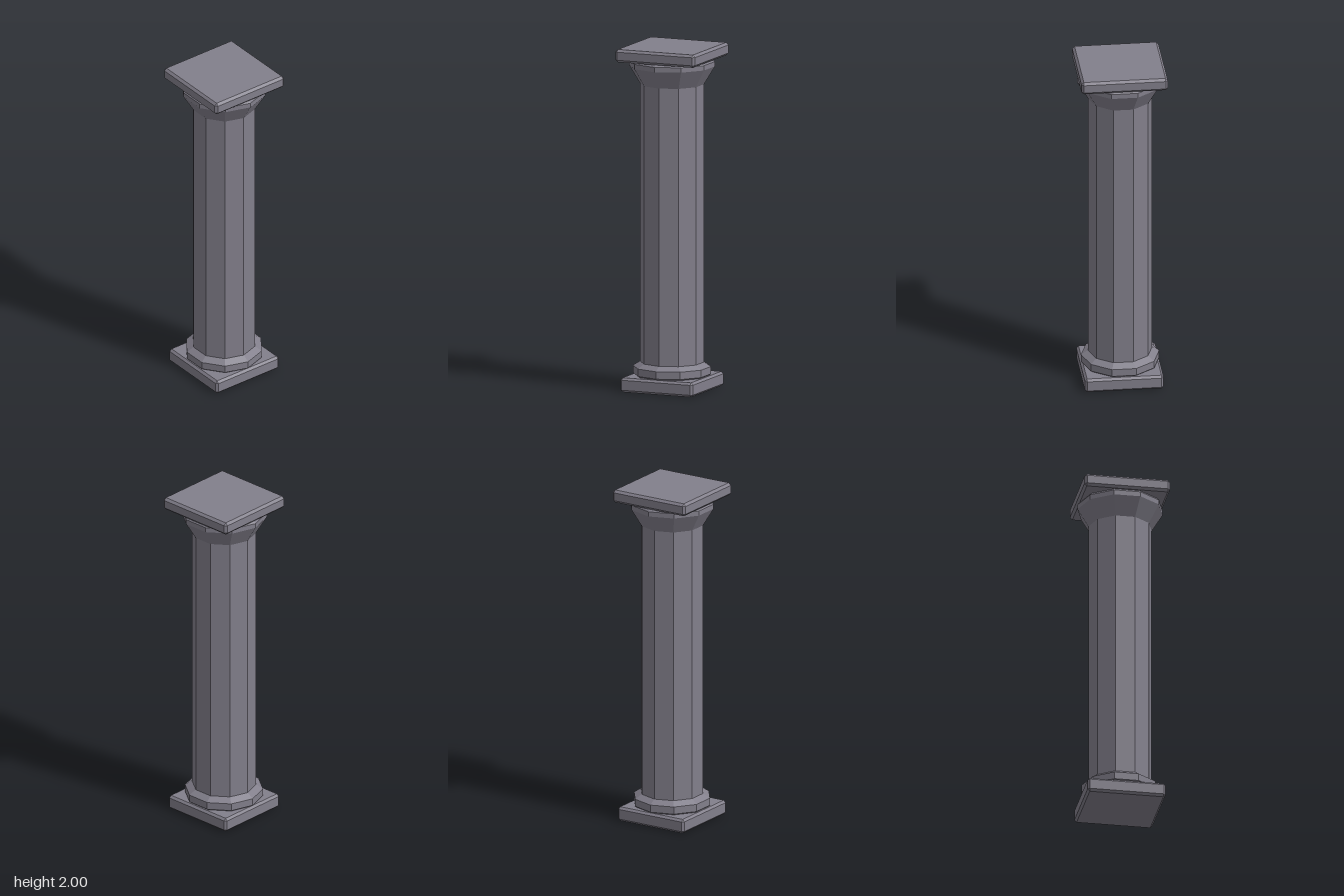
import * as THREE from 'three';
import { ConvexGeometry } from 'three/addons/geometries/ConvexGeometry.js';

const SIDES = 10;

// Box with all edges chamfered by b, spanning y0..y1
function chamferedSlab(half, y0, y1, b) {
  const hy = (y1 - y0) / 2;
  const points = [];
  for (const x of [-1, 1]) for (const y of [-1, 1]) for (const z of [-1, 1]) {
    points.push(
      new THREE.Vector3(x * half, y * (hy - b), z * (half - b)),
      new THREE.Vector3(x * (half - b), y * hy, z * (half - b)),
      new THREE.Vector3(x * (half - b), y * (hy - b), z * half));
  }
  return new ConvexGeometry(points).translate(0, (y0 + y1) / 2, 0);
}

// Ten-sided turned part with corners on the x axis
function turned(profile) {
  const points = profile.map(([r, y]) => new THREE.Vector2(r, y));
  return new THREE.LatheGeometry(points, SIDES, Math.PI / 2);
}

export function createModel() {
  const model = new THREE.Group();
  model.name = 'column';
  const stone = new THREE.MeshStandardMaterial({ color: 0x827f8b, flatShading: true });
  stone.name = 'grey stone';

  const add = (name, geometry) => {
    const mesh = new THREE.Mesh(geometry, stone);
    mesh.name = name;
    model.add(mesh);
  };

  // Square slabs at foot and top
  add('basePlinth', chamferedSlab(0.228, 0, 0.084, 0.013));
  add('topSlab', chamferedSlab(0.25, 1.925, 2, 0.014));

  // Ring around the foot of the shaft
  add('baseRing', turned([[0, 0.08], [0.21, 0.08], [0.226, 0.092], [0.226, 0.135], [0.187, 0.16], [0, 0.16]]));

  // Plain shaft
  add('shaft', turned([[0.185, 0.155], [0.185, 1.785]]));

  // Flared capital
  add('capital', turned([[0.185, 1.78], [0.248, 1.885], [0.248, 1.913], [0.235, 1.928], [0, 1.928]]));

  return model;
}
